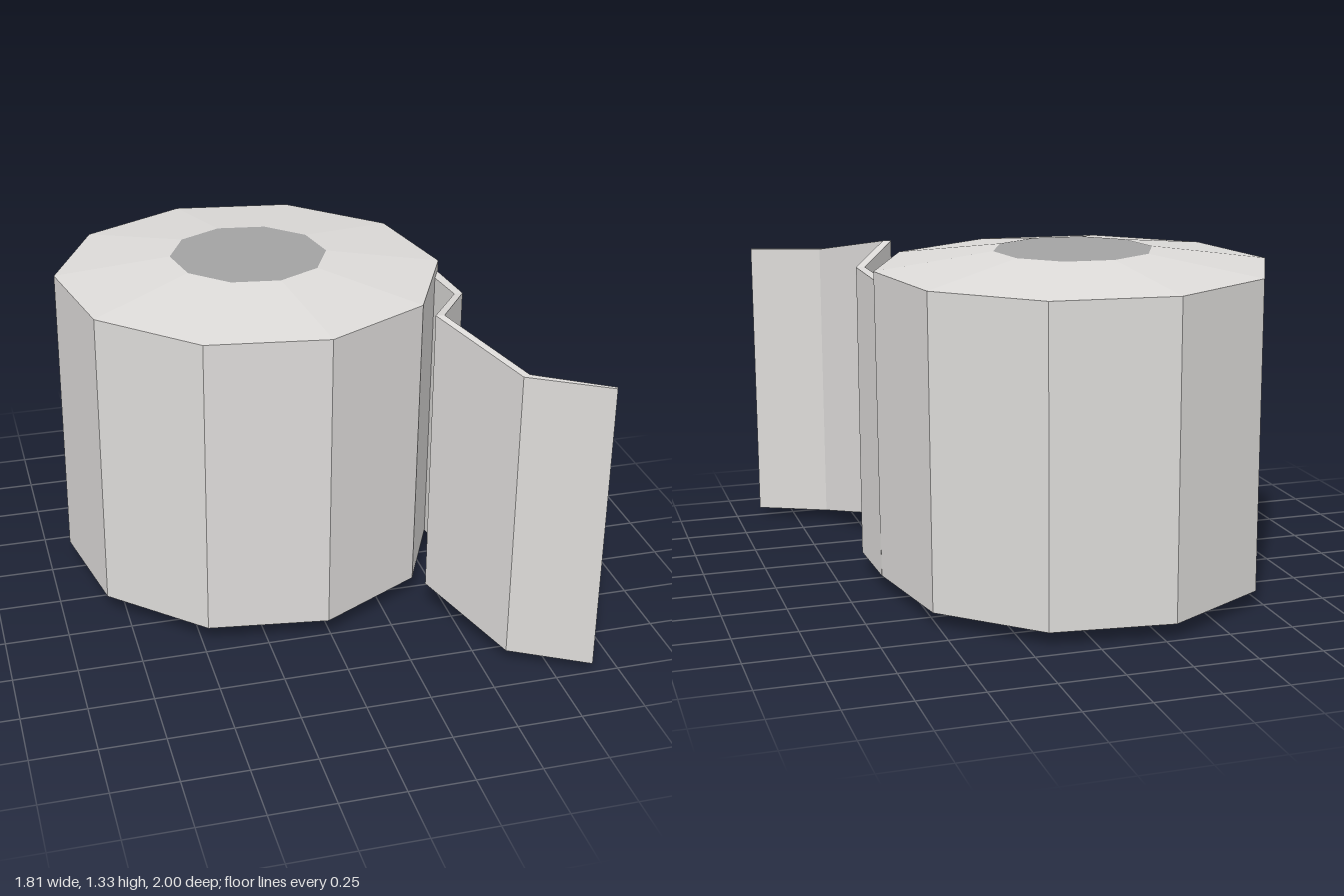
import * as THREE from 'three';

const paper = new THREE.MeshStandardMaterial({ name: 'paper', color: 0xdddbd9 });
const core = new THREE.MeshStandardMaterial({ name: 'core grey', color: 0xa3a3a3 });

// Facets a geometry by giving every triangle its own normals
function faceted(geometry) {
  const flat = geometry.index ? geometry.toNonIndexed() : geometry;
  flat.computeVertexNormals();
  return flat;
}

// Ten-sided turned part from [radius, height] pairs, bottom to top
function turned(name, profile, material) {
  const points = profile.map(([r, y]) => new THREE.Vector2(r, y));
  const start = THREE.MathUtils.degToRad(10.6);
  const mesh = new THREE.Mesh(faceted(new THREE.LatheGeometry(points, 10, start)), material);
  mesh.name = name;
  return mesh;
}

// Folded sheet; each section is [outer x, outer z, inner x, inner z, bottom, top]
function sheetGeometry(sections) {
  const rings = sections.map(([ox, oz, ix, iz, low, high]) => [
    [ox, low, oz], [ox, high, oz], [ix, high, iz], [ix, low, iz],
  ]);
  const positions = [];
  const quad = (a, b, c, d) => positions.push(...a, ...b, ...c, ...a, ...c, ...d);
  for (let i = 0; i < rings.length - 1; i++) {
    for (let k = 0; k < 4; k++) {
      const n = (k + 1) % 4;
      quad(rings[i][k], rings[i][n], rings[i + 1][n], rings[i + 1][k]);
    }
  }
  const first = rings[0];
  const last = rings[rings.length - 1];
  quad(first[3], first[2], first[1], first[0]);
  quad(last[0], last[1], last[2], last[3]);
  const geometry = new THREE.BufferGeometry();
  geometry.setAttribute('position', new THREE.Float32BufferAttribute(positions, 3));
  return faceted(geometry);
}

export function createModel() {
  const model = new THREE.Group();
  model.name = 'paperRoll';

  // Roll with shallow sloping ends, leaning very slightly
  const roll = new THREE.Group();
  roll.name = 'roll';
  const rim = 0.602, end = 0.664, outer = 0.765, inner = 0.31;
  roll.add(
    turned('rollBody', [[inner, -end], [outer, -rim], [outer, rim], [inner, end]], paper),
    turned('coreTop', [[inner, end], [0, end]], core),
    turned('coreBottom', [[0, -end], [inner, -end]], core),
  );
  roll.position.set(-0.147, 0.667, -0.246);
  roll.rotation.set(-0.007, 0, -0.008);
  model.add(roll);

  // Loose sheet unwinding from the roll
  const sheet = new THREE.Mesh(sheetGeometry([
    [0.607, -0.15, 0.57, -0.12, 0.06, 1.225],
    [0.622, 0.13, 0.588, 0.13, 0.07, 1.237],
    [0.443, 0.435, 0.41, 0.43, 0.125, 1.292],
    [0.63, 0.83, 0.602, 0.845, 0.045, 1.21],
    [0.90, 0.985, 0.895, 0.998, 0.037, 1.2],
  ]), paper);
  sheet.name = 'looseSheet';
  model.add(sheet);

  return model;
}
